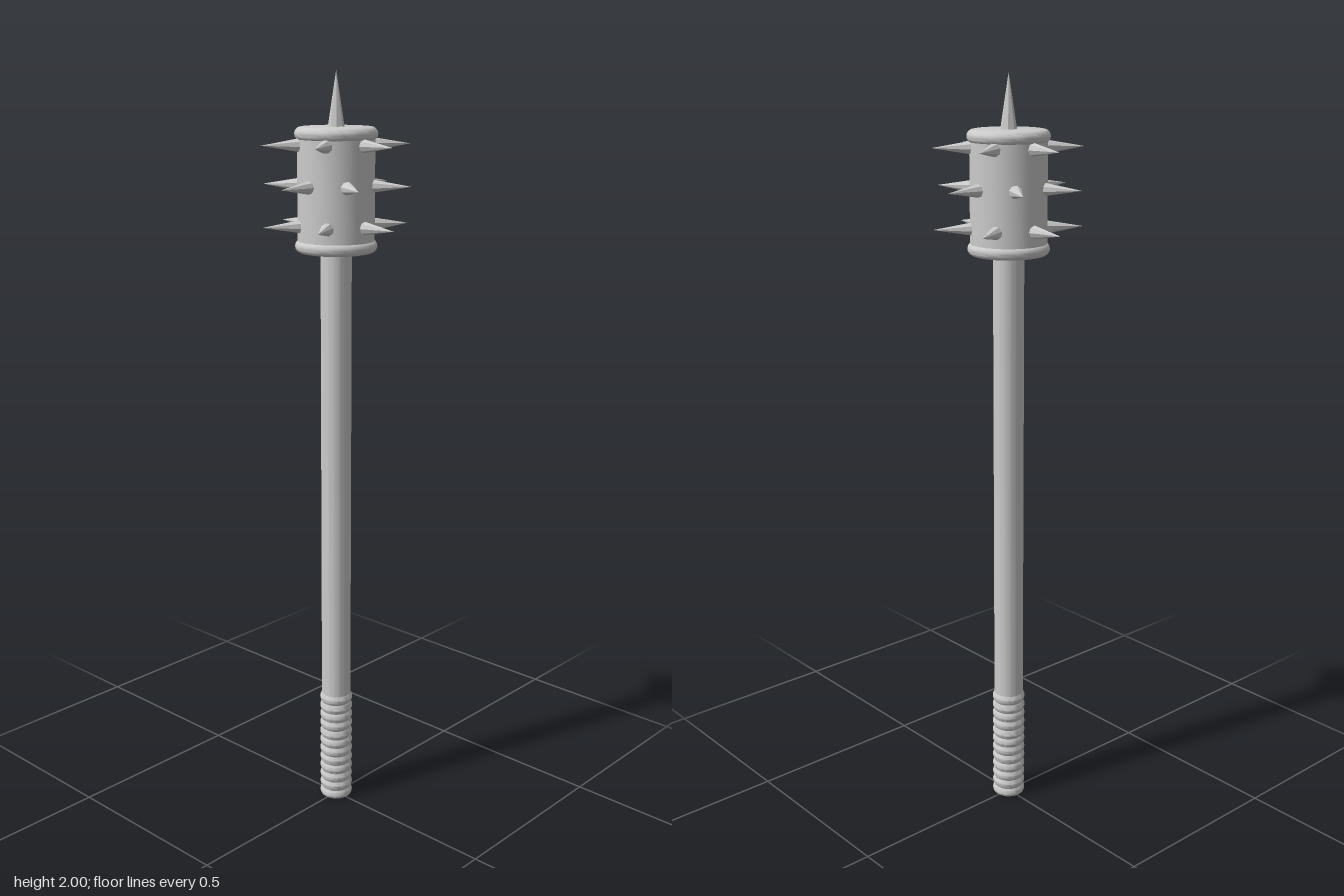
import * as THREE from 'three';
import { toCreasedNormals } from 'three/addons/utils/BufferGeometryUtils.js';

const smooth = new THREE.MeshStandardMaterial({ color: 0xcccccc });
const faceted = new THREE.MeshStandardMaterial({ color: 0xcccccc, flatShading: true });

// Turned part from [radius, y] pairs listed bottom to top
function turned(name, profile, segments = 40) {
  const points = profile.map(([r, y]) => new THREE.Vector2(r, y));
  const geometry = toCreasedNormals(new THREE.LatheGeometry(points, segments), 0.7);
  const mesh = new THREE.Mesh(geometry, smooth);
  mesh.name = name;
  return mesh;
}

// Disc with a rounded edge
function rimProfile(radius, bottom, top) {
  const h = (top - bottom) / 2;
  const profile = [[0, bottom]];
  for (let i = 0; i <= 8; i++) {
    const a = -Math.PI / 2 + (i / 8) * Math.PI;
    profile.push([radius - h + h * Math.cos(a), bottom + h + h * Math.sin(a)]);
  }
  profile.push([0, top]);
  return profile;
}

// Eight-sided spike with its base at the origin, pointing up
function spike(name, radius, length) {
  const geometry = new THREE.ConeGeometry(radius, length, 8);
  geometry.translate(0, length / 2, 0);
  const mesh = new THREE.Mesh(geometry, faceted);
  mesh.name = name;
  return mesh;
}

export function createModel() {
  const model = new THREE.Group();
  model.name = 'spikedMace';

  // Shaft
  model.add(turned('shaft', [[0, 0.02], [0.04, 0.02], [0.04, 1.57], [0, 1.57]]));

  // Grip wrapped in rounded ridges
  const ridges = 12, gripTop = 0.32, pitch = gripTop / ridges;
  const grip = [[0, 0], [0.036, 0]];
  for (let i = 0; i < ridges; i++) {
    for (let j = 1; j <= 6; j++) {
      const t = j / 6;
      grip.push([0.04 + 0.005 * Math.sin(t * Math.PI), (i + t) * pitch]);
    }
  }
  grip.push([0, gripTop]);
  model.add(turned('grip', grip));

  // Head drum and its two rims
  const head = new THREE.Group();
  head.name = 'head';
  head.add(turned('drum', [[0, 1.56], [0.098, 1.56], [0.098, 1.85], [0, 1.85]], 48));
  head.add(turned('lowerRim', rimProfile(0.105, 1.552, 1.585), 48));
  head.add(turned('upperRim', rimProfile(0.105, 1.83, 1.864), 48));

  // Three staggered rows of six spikes
  const rows = [[1.62, 0.5], [1.72, 31.2], [1.82, 2.5]];
  for (const [y, start] of rows) {
    for (let i = 0; i < 6; i++) {
      const a = THREE.MathUtils.degToRad(start + i * 60);
      const out = new THREE.Vector3(Math.cos(a), 0, Math.sin(a));
      const s = spike('sideSpike', 0.02, 0.113);
      s.position.copy(out).multiplyScalar(0.08).setY(y);
      s.quaternion.setFromUnitVectors(new THREE.Vector3(0, 1, 0), out);
      head.add(s);
    }
  }

  // Crowning spike
  const tip = spike('topSpike', 0.023, 0.15);
  tip.position.y = 1.85;
  head.add(tip);

  model.add(head);
  return model;
}
